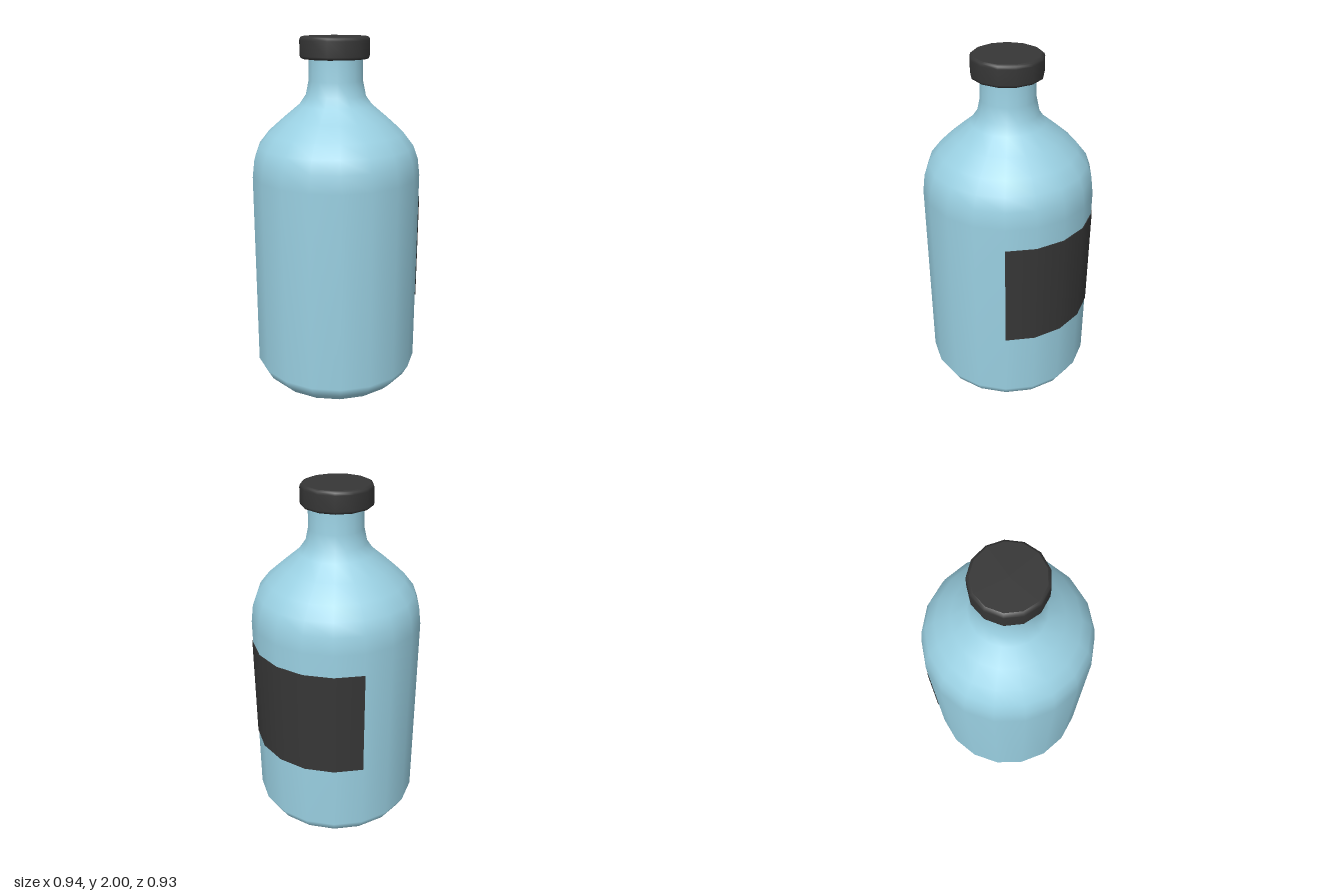
import * as THREE from 'three';

const glass = new THREE.MeshStandardMaterial({ color: 0x9ad0e2 });
const dark = new THREE.MeshStandardMaterial({ color: 0x363636 });
const sheet = new THREE.MeshStandardMaterial({ color: 0x363636, side: THREE.DoubleSide });
const DEG = Math.PI / 180;

// Surface of revolution from [radius, height] pairs, listed bottom to top
function lathe(name, pairs, sides, material, start = 90, sweep = 360) {
  const points = pairs.map(([r, y]) => new THREE.Vector2(r, y));
  const mesh = new THREE.Mesh(new THREE.LatheGeometry(points, sides, start * DEG, sweep * DEG), material);
  mesh.name = name;
  return mesh;
}

// Flat disc facing up (+1) or down (-1), so its rim stays a sharp edge
function disc(name, radius, y, sides, facing, material) {
  const mesh = new THREE.Mesh(new THREE.CircleGeometry(radius, sides), material);
  mesh.rotation.x = -facing * Math.PI / 2;
  mesh.position.y = y;
  mesh.name = name;
  return mesh;
}

export function createModel() {
  const model = new THREE.Group();
  model.name = 'bottle';

  // Glass body: rounded foot, straight wall, shoulder and neck
  const body = new THREE.Group();
  body.name = 'body';
  body.add(
    lathe('bodyWall', [
      [0.325, 0], [0.39, 0.04], [0.435, 0.085], [0.468, 0.145],
      [0.468, 1.255], [0.456, 1.35], [0.43, 1.42], [0.375, 1.49],
      [0.29, 1.565], [0.2, 1.64], [0.165, 1.69], [0.148, 1.77], [0.146, 1.9],
    ], 18, glass),
    disc('bodyBase', 0.325, 0, 18, -1, glass),
  );

  // Label wrapped round the back: outer face plus thin top and bottom edges
  const label = new THREE.Group();
  label.name = 'label';
  const [inner, outer, low, high] = [0.467, 0.472, 0.53, 1.13];
  label.add(
    lathe('labelFace', [[outer, low], [outer, high]], 6, sheet, 130, 120),
    lathe('labelTopEdge', [[outer, high], [inner, high]], 6, sheet, 130, 120),
    lathe('labelBottomEdge', [[inner, low], [outer, low]], 6, sheet, 130, 120),
  );

  // Stopper cap with softened rims, set slightly forward
  const cap = new THREE.Group();
  cap.name = 'cap';
  cap.position.z = 0.006;
  cap.add(
    lathe('capWall', [
      [0.178, 1.885], [0.188, 1.89], [0.191, 1.9],
      [0.191, 1.98], [0.187, 1.993], [0.175, 2],
    ], 13, dark),
    disc('capTop', 0.175, 2, 13, 1, dark),
    disc('capUnderside', 0.178, 1.885, 13, -1, dark),
  );

  model.add(body, label, cap);
  return model;
}
